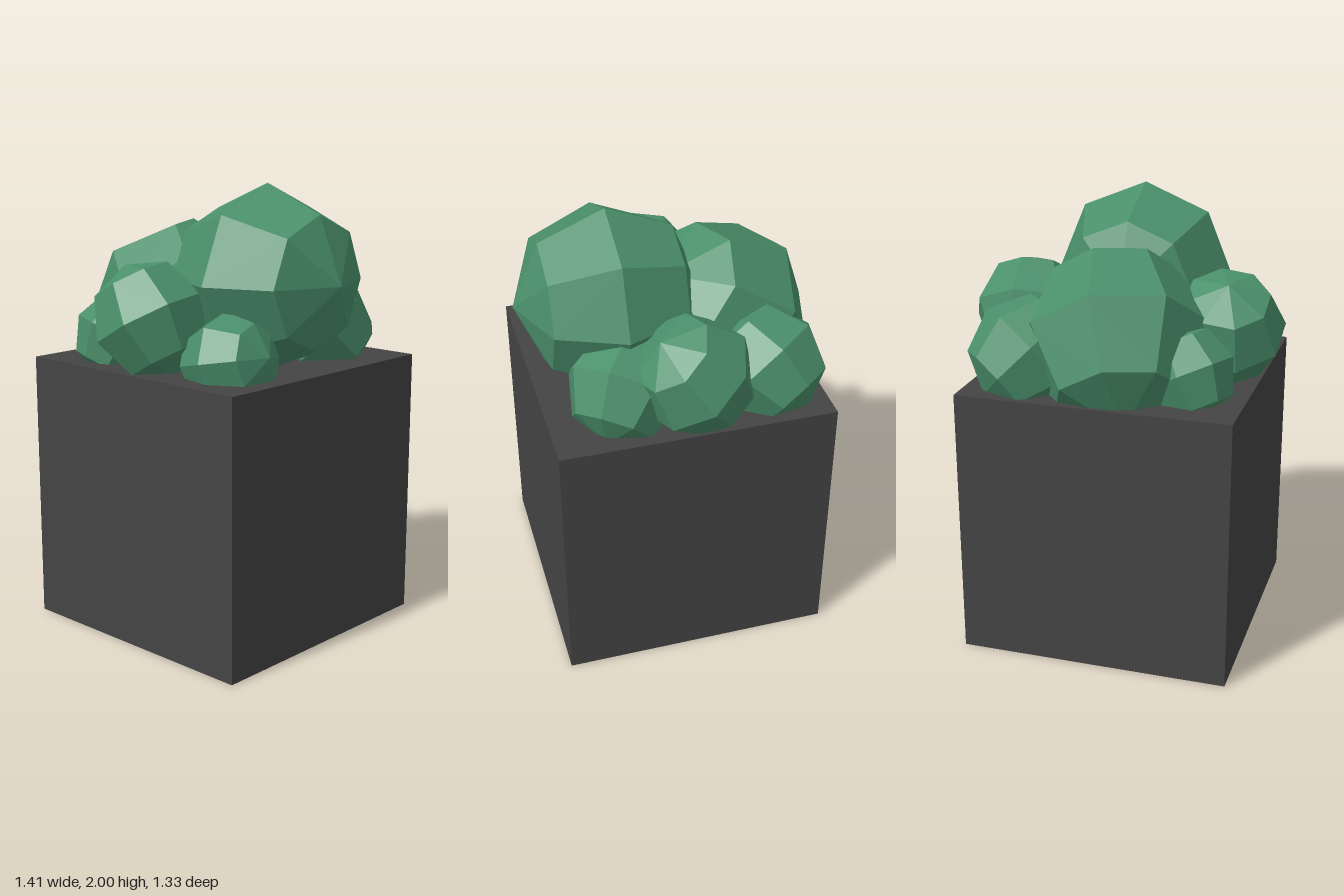
import * as THREE from 'three';

const leafMaterial = new THREE.MeshStandardMaterial({ color: 0x4a8f6a, flatShading: true });
const potMaterial = new THREE.MeshStandardMaterial({ color: 0x444444, flatShading: true });

// Low-poly leaf ball: centre, radius, direction of its pole, direction of one meridian
const clumps = [
  ['frontLargeClump', [-0.01, 1.59, 0.245], 0.41, [0, 0, 1], [0, 1, 0]],
  ['backLargeClump', [-0.03, 1.41, -0.26], 0.415, [0.11, 0.29, 0.28], [0.04, 0.32, -0.29]],
  ['leftClump', [0.455, 1.43, -0.01], 0.262, [0.03, 0.2, 0.15], [0.03, 0.26, -0.01]],
  ['rightClump', [-0.455, 1.43, -0.02], 0.262, [-0.03, 0.22, -0.12], [0.04, 0.24, 0.06]],
  ['frontLeftClump', [0.33, 1.34, 0.26], 0.255, [-0.5, 0.6, -0.4], [0.09, 0.24, 0.05]],
  ['backLeftClump', [0.34, 1.35, -0.37], 0.26, [-0.5, 0.5, 0.45], [0.1, 0.2, -0.2]],
  ['frontRightClump', [-0.35, 1.28, 0.34], 0.21, [0.02, 0.04, 0.2], [0.02, 0.21, 0]],
  ['backRightClump', [-0.36, 1.31, -0.32], 0.21, [0.1, 0.2, 0.05], [-0.1, 0.1, -0.1]],
];

function leafClump([name, centre, radius, pole, meridian]) {
  const up = new THREE.Vector3(...pole).normalize();
  const side = new THREE.Vector3(...meridian);
  side.addScaledVector(up, -side.dot(up)).normalize();
  const third = new THREE.Vector3().crossVectors(side, up);
  const mesh = new THREE.Mesh(new THREE.SphereGeometry(radius, 8, 4), leafMaterial);
  mesh.quaternion.setFromRotationMatrix(new THREE.Matrix4().makeBasis(side, up, third));
  mesh.position.set(...centre);
  mesh.name = name;
  return mesh;
}

export function createModel() {
  const model = new THREE.Group();
  model.name = 'pottedBush';

  // Square planter block
  const planter = new THREE.Mesh(new THREE.BoxGeometry(1.21, 1.215, 1.21), potMaterial);
  planter.position.set(-0.013, 0.6075, -0.003);
  planter.name = 'planter';
  model.add(planter);

  // Foliage made of overlapping faceted balls
  const foliage = new THREE.Group();
  foliage.name = 'foliage';
  clumps.forEach((clump) => foliage.add(leafClump(clump)));
  model.add(foliage);
  return model;
}
